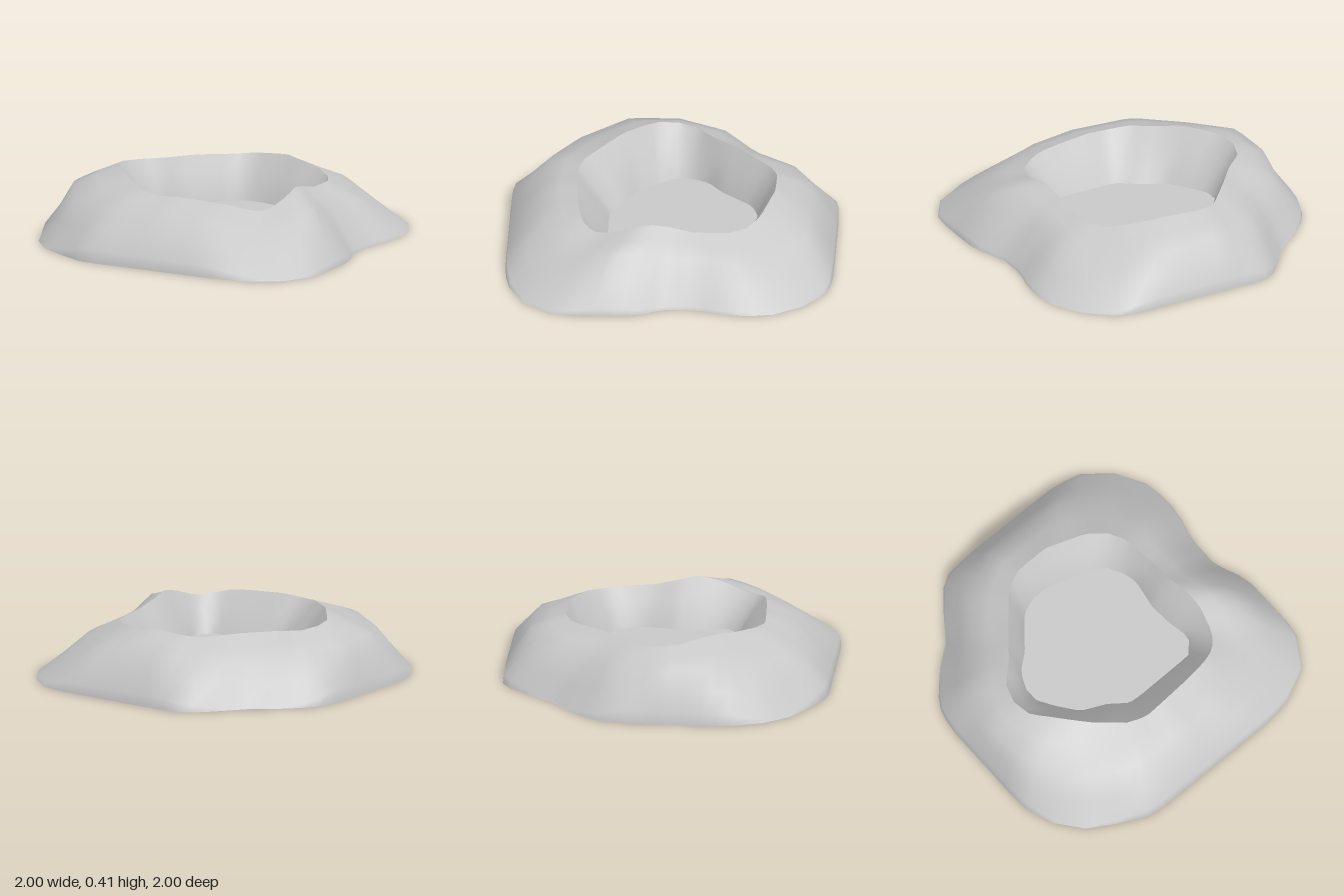
import * as THREE from 'three';

// Closed plan outlines running from +x towards +z
// Foot of the slope: [x, z, height of its upright lip]
const BASE = [
  [.91, 0, .02], [.94, .08, .02], [.99, .2, .03], [1, .3, .05], [1, .67, .02], [.87, .87, .01],
  [.65, .98, .03], [.45, 1, .07], [-.43, 1, .08], [-.62, .91, .03], [-.8, .8, .01],
  [-.93, .64, .02], [-1, .44, .07], [-1, -.23, .08], [-.96, -.39, .03], [-.8, -.56, .01],
  [-.66, -.67, .01], [-.54, -.83, .02], [-.4, -.99, .05], [-.2, -1, .07], [.45, -1, .06],
  [.65, -.98, .02], [.83, -.83, .01], [.95, -.63, .01], [.96, -.4, .02], [.91, -.2, .02],
];
// Bend in the slope and rim of the crater: [x, z, height]
const SHOULDER = [
  [.72, 0, .26], [.79, .3, .31], [.78, .48, .25], [.67, .65, .21], [.5, .72, .24],
  [.3, .77, .28], [0, .79, .3], [-.4, .77, .29], [-.7, .6, .26], [-.87, .3, .31],
  [-.89, 0, .3], [-.78, -.28, .29], [-.61, -.48, .24], [-.42, -.72, .26], [-.15, -.84, .29],
  [.2, -.84, .275], [.4, -.82, .25], [.66, -.66, .18], [.74, -.4, .23], [.71, -.2, .25],
];
const RIM = [
  [.55, 0, .375], [.57, .12, .4], [.58, .25, .37], [.54, .42, .31], [.47, .51, .32],
  [.36, .55, .35], [.2, .57, .36], [0, .585, .37], [-.13, .59, .36], [-.25, .55, .375],
  [-.42, .41, .395], [-.51, .32, .415], [-.61, .2, .41], [-.67, .13, .4], [-.69, 0, .39],
  [-.65, -.12, .38], [-.53, -.23, .38], [-.4, -.39, .38], [-.23, -.58, .365],
  [-.12, -.63, .375], [.1, -.63, .39], [.36, -.55, .355], [.47, -.47, .33],
  [.53, -.36, .33], [.55, -.15, .34],
];
// Edge of the floor: [x, z]
const FLOOR = [
  [.42, 0], [.43, .15], [.46, .3], [.38, .385], [0, .39], [-.09, .385], [-.2, .3],
  [-.35, .23], [-.45, .1], [-.51, 0], [-.51, -.1], [-.46, -.2], [-.36, -.28], [-.2, -.47],
  [-.1, -.51], [0, -.51], [.1, -.485], [.37, -.38], [.43, -.27], [.45, -.18],
];
const FLOOR_Y = 0.1;
const STEPS = 72;

// Point where a ray from the centre crosses an outline
function sample(outline, angle) {
  const dx = Math.cos(angle), dz = Math.sin(angle);
  for (let i = 0; i < outline.length; i++) {
    const a = outline[i], b = outline[(i + 1) % outline.length];
    const ca = a[0] * dz - a[1] * dx, cb = b[0] * dz - b[1] * dx;
    if (ca >= -1e-9 && cb < -1e-9) {
      const t = ca / (ca - cb);
      const mix = k => (a[k] ?? 0) * (1 - t) + (b[k] ?? 0) * t;
      return new THREE.Vector3(mix(0), mix(2), mix(1));
    }
  }
  throw new Error('outline does not surround the centre');
}

// Point between two others, scaled in plan
function between(a, b, t, scale = 1) {
  return a.clone().lerp(b, t).multiply(new THREE.Vector3(scale, 1, scale));
}

// Outer slope: a low upright lip, then the bank up to the rim
function outerSection(angle) {
  const lip = sample(BASE, angle), shoulder = sample(SHOULDER, angle);
  const rim = sample(RIM, angle);
  const foot = lip.clone().setY(0);
  lip.multiply(new THREE.Vector3(.99, 1, .99));
  return [foot, lip, between(lip, shoulder, .5), shoulder, between(shoulder, rim, .5), rim];
}

// Inner wall: from the rim down to the edge of the floor
function innerSection(angle) {
  const rim = sample(RIM, angle), floor = sample(FLOOR, angle).setY(FLOOR_Y);
  return [rim, between(rim, floor, .35, .985), between(rim, floor, .7, .98), floor];
}

// Skirt: carries the inner wall below the floor to the ground
function skirtSection(angle) {
  const top = sample(FLOOR, angle).setY(FLOOR_Y);
  return [top, top.clone().multiplyScalar(1.05).setY(0)];
}

function surface(points, index) {
  const geometry = new THREE.BufferGeometry().setFromPoints(points);
  geometry.setIndex(index);
  geometry.computeVertexNormals();
  return geometry;
}

// Closed band skinned over the cross-sections all the way round
function band(section) {
  const sections = [];
  for (let i = 0; i < STEPS; i++) sections.push(section(i / STEPS * Math.PI * 2));
  const n = sections[0].length, index = [];
  for (let i = 0; i < STEPS; i++) {
    for (let j = 0; j < n - 1; j++) {
      const a = i * n + j, b = ((i + 1) % STEPS) * n + j;
      index.push(a, a + 1, b, b, a + 1, b + 1);
    }
  }
  return surface(sections.flat(), index);
}

// Flat fan filling the floor outline
function disc() {
  const points = [new THREE.Vector3(0, FLOOR_Y, 0)], index = [];
  for (let i = 0; i < STEPS; i++) {
    points.push(sample(FLOOR, i / STEPS * Math.PI * 2).setY(FLOOR_Y));
    index.push(0, 1 + (i + 1) % STEPS, 1 + i);
  }
  return surface(points, index);
}

export function createModel() {
  const group = new THREE.Group();
  group.name = 'crater';
  const stone = new THREE.MeshStandardMaterial({ color: 0xc8c8c8, side: THREE.DoubleSide });
  stone.name = 'grey stone';

  const add = (name, geometry) => {
    const mesh = new THREE.Mesh(geometry, stone);
    mesh.name = name;
    group.add(mesh);
  };
  add('outerSlope', band(outerSection));
  add('innerWall', band(innerSection));
  add('wallSkirt', band(skirtSection));
  add('craterFloor', disc());
  return group;
}
